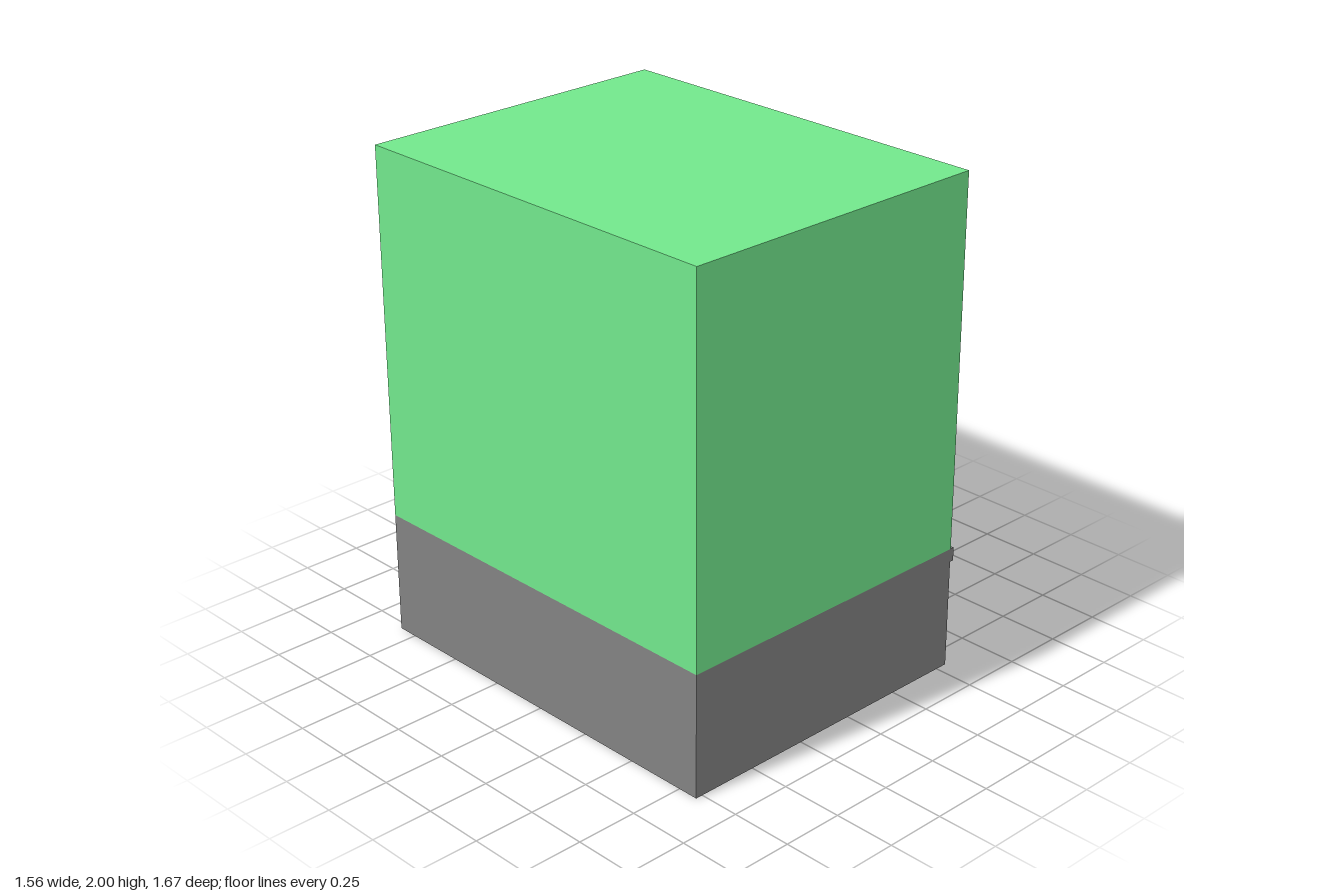
import * as THREE from 'three';

const mat = (color) => new THREE.MeshStandardMaterial({ color });
const green = mat(0x72e78c), stone = mat(0x828282), glass = mat(0x68c5e9),
  wood = mat(0x7b371f), doorWood = mat(0x5c3628), sillMat = mat(0xc9b995), grey = mat(0xcccccc);

const BACK = -0.78, CORE = 0.53, WALL = 0.55, HALF = 0.835, BASE = 0.5, TOP = 2;
const WIN_W = 0.2, WIN_H = 0.23;

function add(parent, name, geometry, material) {
  const mesh = new THREE.Mesh(geometry, material);
  mesh.name = name;
  parent.add(mesh);
  return mesh;
}

// Box given by its minimum and maximum on each axis
function box(parent, name, material, x0, x1, y0, y1, z0, z1) {
  const mesh = add(parent, name, new THREE.BoxGeometry(x1 - x0, y1 - y0, z1 - z0), material);
  mesh.position.set((x0 + x1) / 2, (y0 + y1) / 2, (z0 + z1) / 2);
  return mesh;
}

// Outline with square lower corners and rounded upper ones (r = 0 gives a rectangle)
function outline(Type, x0, x1, y0, y1, r = 0) {
  const p = new Type();
  p.moveTo(x0, y0);
  p.lineTo(x1, y0);
  p.lineTo(x1, y1 - r);
  if (r) p.absarc(x1 - r, y1 - r, r, 0, Math.PI / 2, false);
  p.lineTo(x0 + r, y1);
  if (r) p.absarc(x0 + r, y1 - r, r, Math.PI / 2, Math.PI, false);
  p.lineTo(x0, y0);
  return p;
}

function extrude(parent, name, material, shape, z0, z1) {
  const geometry = new THREE.ExtrudeGeometry(shape, { depth: z1 - z0, bevelEnabled: false, curveSegments: 10 });
  const mesh = add(parent, name, geometry, material);
  mesh.position.z = z0;
  return mesh;
}

// Recessed two-pane window with sill; x is its centre, y its lower edge
function addWindow(parent, x, y) {
  const w = new THREE.Group();
  w.name = 'window';
  w.position.set(x, y, 0);
  parent.add(w);
  const h = WIN_W / 2, f = 0.009;
  box(w, 'windowGlass', glass, -h, h, 0, WIN_H, CORE, CORE + 0.003);
  const frame = outline(THREE.Shape, -h, h, 0, WIN_H);
  frame.holes.push(outline(THREE.Path, -h + f, -0.01, f, WIN_H - f), outline(THREE.Path, 0.01, h - f, f, WIN_H - f));
  extrude(w, 'windowFrame', wood, frame, CORE, CORE + 0.008);
  box(w, 'windowSill', sillMat, -h - 0.003, h + 0.003, -0.011, 0, CORE, WALL + 0.006);
}

// Arched double door with fanlight and projecting surround
function addDoor(parent) {
  const d = new THREE.Group();
  d.name = 'entrance';
  parent.add(d);
  const surround = outline(THREE.Shape, -0.165, 0.165, 0, 0.385, 0.07);
  surround.holes.push(outline(THREE.Path, -0.153, 0.153, 0.003, 0.373, 0.058));
  extrude(d, 'doorSurround', stone, surround, CORE, WALL + 0.007);

  const leaf = outline(THREE.Shape, -0.155, 0.155, 0.002, 0.375, 0.06);
  leaf.holes.push(
    outline(THREE.Path, -0.145, -0.015, 0.08, 0.245),
    outline(THREE.Path, 0.015, 0.145, 0.08, 0.245),
    outline(THREE.Path, -0.145, 0.145, 0.272, 0.364, 0.05));
  extrude(d, 'doorFrame', doorWood, leaf, CORE, CORE + 0.009);
  extrude(d, 'doorGlass', glass, outline(THREE.Shape, -0.15, 0.15, 0.07, 0.37, 0.055), CORE, CORE + 0.003);
  box(d, 'doorTransom', wood, -0.15, 0.15, 0.25, 0.268, CORE, CORE + 0.013);
}

export function createModel() {
  const model = new THREE.Group();
  model.name = 'apartmentBuilding';

  // Solid core behind the street wall
  box(model, 'groundFloor', stone, BACK, CORE, 0, BASE, -HALF, HALF);
  box(model, 'upperFloors', green, BACK, CORE, BASE, TOP, -HALF, HALF);

  // Street side, drawn facing +z and turned to face +x
  const facade = new THREE.Group();
  facade.name = 'facade';
  facade.rotation.y = Math.PI / 2;
  model.add(facade);

  const upperWall = outline(THREE.Shape, -HALF, HALF, BASE, TOP);
  const lowerWall = outline(THREE.Shape, -HALF, HALF, 0, BASE);
  const cut = (wall, x, y) => {
    wall.holes.push(outline(THREE.Path, x - WIN_W / 2, x + WIN_W / 2, y, y + WIN_H));
    addWindow(facade, x, y);
  };
  for (const y of [0.65, 1.15, 1.65]) {
    for (const x of [-0.625, -0.208, 0.208, 0.625]) cut(upperWall, x, y);
  }
  for (const x of [-0.45, 0.45]) cut(lowerWall, x, 0.15);
  lowerWall.holes.push(outline(THREE.Path, -0.16, 0.16, 0.001, 0.38, 0.065));
  extrude(facade, 'upperWall', green, upperWall, CORE, WALL);
  extrude(facade, 'lowerWall', stone, lowerWall, CORE, WALL);
  addDoor(facade);

  // Ledge between ground floor and upper floors
  box(facade, 'cornice', stone, -HALF, HALF, 0.445, BASE, WALL, 0.567);

  // Free-standing block with rounded upper corners
  extrude(facade, 'roundedBlock', grey, outline(THREE.Shape, 0.39, 0.69, 0.02, 0.387, 0.075), 0.613, 0.78);

  return model;
}
